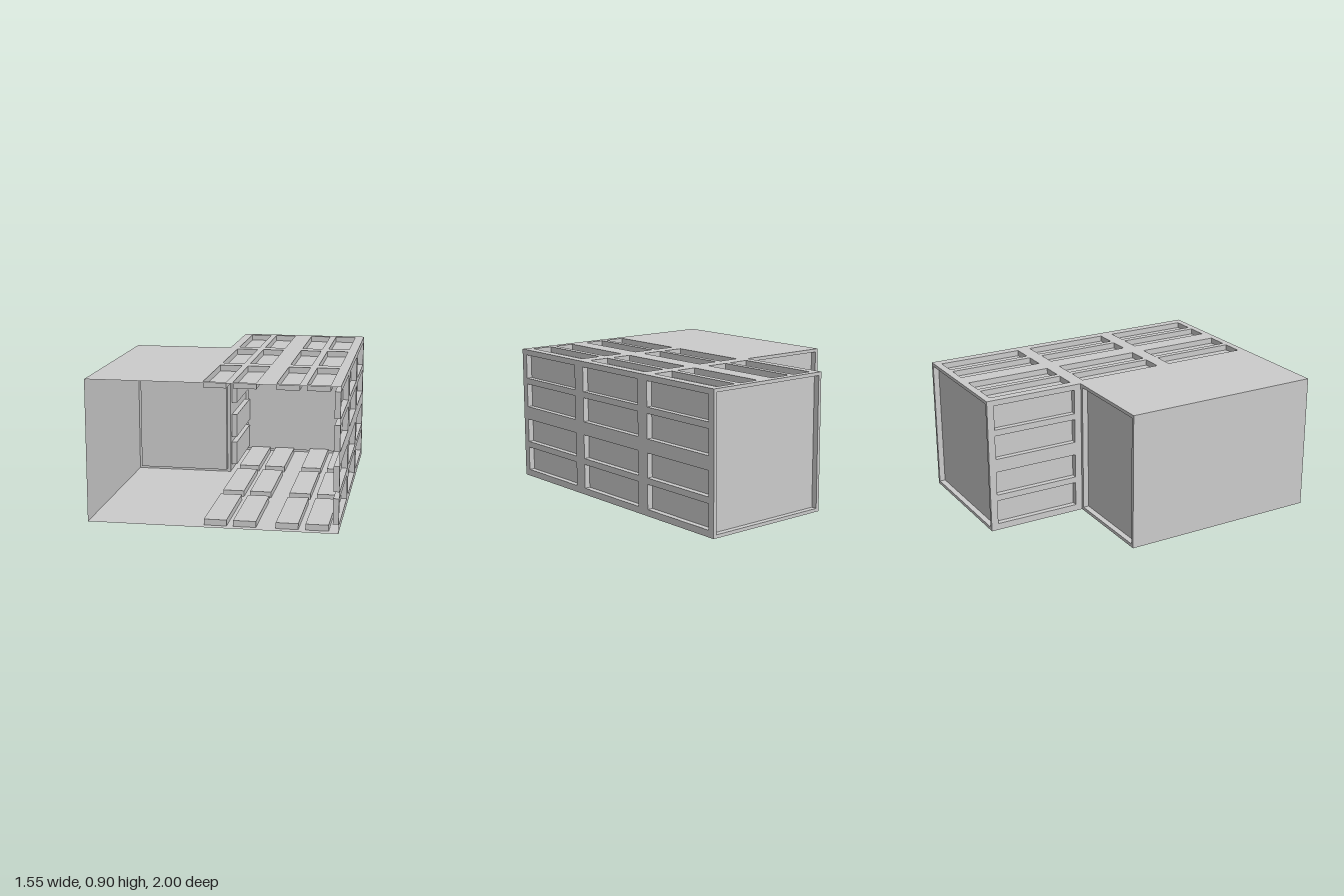
import * as THREE from 'three';
import { mergeGeometries } from 'three/addons/utils/BufferGeometryUtils.js';

const X0 = -0.777, XM = -0.111, X1 = 0.777; // left wall, inner corner, right wall
const ZB = -1, ZM = -0.333, ZF = 1;         // rear wall, side bay rear, open front
const H = 0.897, DEPTH = 0.038, RIM = 0.022;

const zBays = [[-0.953, -0.38], [-0.288, 0.288], [0.38, 0.953]];
const xStrips = [[-0.053, 0.088], [0.129, 0.27], [0.392, 0.53], [0.574, 0.715]];
const yRows = [[0.044, 0.206], [0.247, 0.407], [0.496, 0.656], [0.697, 0.86]];

const grid = (us, vs) => us.flatMap(([a, b]) => vs.map(([c, d]) => [a, c, b, d]));
const rect = (a, c, b, d) => [[a, c], [b, c], [b, d], [a, d]];

// Five-sided pocket: a box without its outer face, sunk behind the sheet
function pocket([a, c, b, d]) {
  const g = new THREE.BoxGeometry(b - a, d - c, DEPTH);
  g.setIndex(Array.from(g.index.array).filter((_, i) => i < 24 || i >= 30));
  return g.translate((a + b) / 2, (c + d) / 2, -DEPTH / 2);
}

export function createModel() {
  const model = new THREE.Group();
  model.name = 'corridorModule';
  const material = new THREE.MeshStandardMaterial({ color: 0xcccccc, side: THREE.DoubleSide });

  // Thin sheet in the plane of u and v, facing u x v, with pockets pressed inwards
  function sheet(name, outline, pockets, u, v, offset) {
    const shape = new THREE.Shape(outline.map(([a, b]) => new THREE.Vector2(a, b)));
    for (const p of pockets) {
      shape.holes.push(new THREE.Path(rect(...p).map(([a, b]) => new THREE.Vector2(a, b))));
    }
    const geometry = mergeGeometries([new THREE.ShapeGeometry(shape), ...pockets.map(pocket)]);
    const U = new THREE.Vector3(...u), V = new THREE.Vector3(...v);
    const N = U.clone().cross(V);
    geometry.applyMatrix4(new THREE.Matrix4().makeBasis(U, V, N).setPosition(N.multiplyScalar(offset)));
    const mesh = new THREE.Mesh(geometry, material);
    mesh.name = name;
    model.add(mesh);
  }

  const px = [1, 0, 0], nx = [-1, 0, 0], py = [0, 1, 0], pz = [0, 0, 1], nz = [0, 0, -1];

  // Ceiling and floor share the L-shaped plan
  const plan = [[X0, ZF], [X1, ZF], [X1, ZB], [XM, ZB], [XM, ZM], [X0, ZM]];
  const strips = grid(xStrips, zBays);
  sheet('ceiling', plan.map(([x, z]) => [x, -z]), strips, px, nz, H);
  sheet('floor', plan, strips, px, pz, 0);

  // Side walls
  sheet('rightWall', rect(-ZF, 0, -ZB, H), grid(zBays, yRows), nz, py, X1);
  sheet('corridorInnerWall', rect(ZB, 0, ZM, H), grid([zBays[0]], yRows), pz, py, -XM);
  sheet('sideBayWall', rect(ZM, 0, ZF, H), [], pz, py, -X0);

  // Rear walls, each one recessed panel inside a narrow rim
  for (const [name, a, b, z] of [['corridorRearWall', XM, X1, ZB], ['sideBayRearWall', X0, XM, ZM]]) {
    sheet(name, rect(-b, 0, -a, H), [[-b + RIM, RIM, -a - RIM, H - RIM]], nx, py, -z);
  }
  return model;
}
